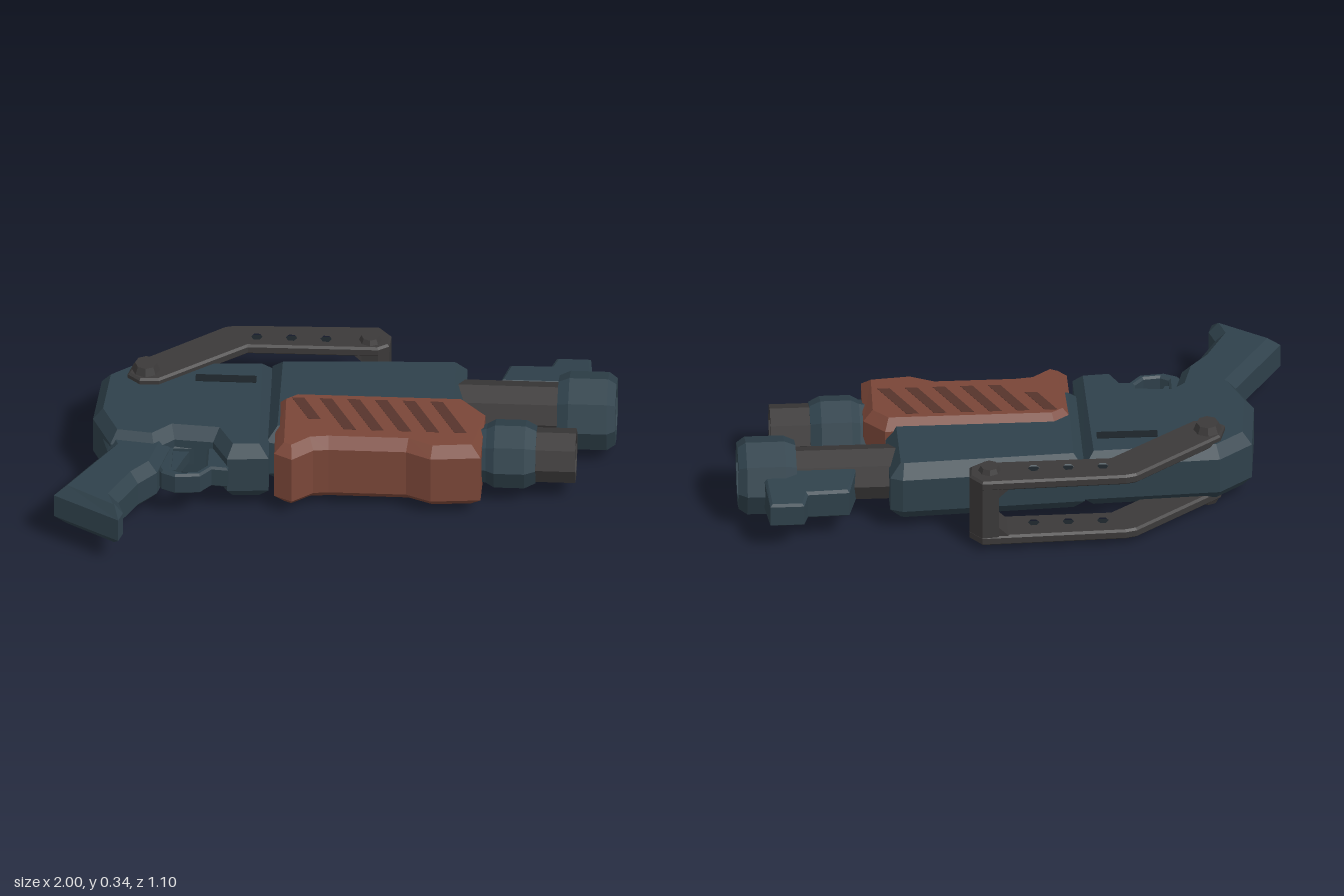
import * as THREE from 'three';

const MID = 0.168; // height of the symmetry plane
const mat = (color) => new THREE.MeshStandardMaterial({ color, flatShading: true, roughness: 0.8 });
const steel = mat(0x2f414b), iron = mat(0x3b3939), wood = mat(0x7a4638), dark = mat(0x1b2328);

const toVec = (pts) => pts.map(([x, z]) => new THREE.Vector2(x, -z));
const ngon = (x, z, r, n = 6) =>
  Array.from({ length: n }, (_, i) => [x + r * Math.cos((i * 2 * Math.PI) / n), z + r * Math.sin((i * 2 * Math.PI) / n)]);

export function createModel() {
  const root = new THREE.Group();
  const add = (name, geo, material, parent = root) => {
    const mesh = new THREE.Mesh(geo, material);
    mesh.name = name;
    parent.add(mesh);
    return mesh;
  };

  // Chamfered plate: outline in (x, z), spanning heights y0 to y1
  const slab = (pts, y0, y1, bevel = 0, { holes = [], thick = bevel, taper = 0, from = 0 } = {}) => {
    const shape = new THREE.Shape(toVec(pts));
    holes.forEach((h) => shape.holes.push(new THREE.Path(toVec(h))));
    const geo = new THREE.ExtrudeGeometry(shape, {
      depth: y1 - y0 - 2 * thick, bevelEnabled: bevel > 0,
      bevelSize: bevel, bevelThickness: thick, bevelOffset: -bevel, bevelSegments: 1,
    });
    geo.rotateX(-Math.PI / 2).translate(0, y0 + thick, 0);
    // Narrow the thickness linearly along z
    const p = geo.attributes.position;
    for (let i = 0; i < p.count; i++) {
      p.setY(i, MID + (p.getY(i) - MID) * (1 - taper * (p.getZ(i) - from)));
    }
    geo.computeVertexNormals();
    return geo;
  };

  // Eight-sided turned part along x, profile as [x, radius]
  const turned = (profile, z) =>
    new THREE.LatheGeometry(profile.map(([x, r]) => new THREE.Vector2(r, x)), 8)
      .rotateZ(-Math.PI / 2).translate(0, MID + 0.005, z);

  // Receiver, rear and front halves
  add('receiverRear', slab([
    [-0.86, -0.26], [-0.74, -0.35], [-0.25, -0.37], [-0.235, 0.18], [-0.385, 0.19],
    [-0.44, 0.09], [-0.58, 0.08], [-0.65, 0.14], [-0.81, 0.12], [-0.88, -0.03],
  ], 0.052, 0.284, 0.035, { thick: 0.045 }), steel);
  add('receiverFront', slab([
    [-0.25, -0.385], [0.41, -0.418], [0.455, -0.4], [0.46, -0.1], [0.42, 0.08], [-0.25, 0.08],
  ], 0.05, 0.286, 0.04, { thick: 0.05 }), steel);
  add('ejectionSlot', new THREE.BoxGeometry(0.22, 0.02, 0.04).translate(-0.41, 0.276, -0.237), dark);

  // Pistol grip
  add('grip', slab([
    [-0.85, 0.02], [-0.6, 0.02], [-0.595, 0.1], [-0.635, 0.25], [-0.70, 0.32], [-0.765, 0.44],
    [-0.745, 0.5], [-0.76, 0.545], [-1.0, 0.405], [-0.82, 0.13],
  ], 0.082, 0.254, 0.035, { thick: 0.04 }), steel);

  // Trigger and guard
  add('triggerGuard', slab([
    [-0.64, 0.19], [-0.62, 0.235], [-0.57, 0.258], [-0.48, 0.25], [-0.44, 0.205], [-0.38, 0.21],
    [-0.38, 0.06], [-0.64, 0.06],
  ], 0.125, 0.211, 0.008, {
    holes: [[[-0.585, 0.085], [-0.585, 0.215], [-0.555, 0.232], [-0.495, 0.226], [-0.462, 0.19], [-0.462, 0.085]]],
  }), steel);
  add('trigger', slab([
    [-0.52, 0.07], [-0.545, 0.13], [-0.57, 0.2], [-0.585, 0.2], [-0.585, 0.07],
  ], 0.145, 0.191), steel);

  // Sliding fore-end with slanted grooves on both sides
  const slots = [];
  for (let i = 0; i < 6; i++) {
    const x = -0.165 + i * 0.1, end = i === 0 ? 0.02 : 0.075, run = 0.55 * (end + 0.1);
    slots.push([[x, -0.1], [x + 0.045, -0.1], [x + 0.045 + run, end], [x + run, end]]);
  }
  const taper = { taper: 0.25, from: -0.15 };
  add('foreEnd', slab([
    [-0.22, -0.11], [-0.155, -0.155], [0.46, -0.155], [0.535, -0.08], [0.53, 0.17], [0.35, 0.187],
    [0.26, 0.148], [-0.02, 0.148], [-0.075, 0.155], [-0.15, 0.213], [-0.215, 0.18],
  ], 0.026, 0.312, 0.035, { thick: 0.04, ...taper }), wood);
  slots.forEach((s) => add('foreEndGroove', slab(s, 0.025, 0.313, 0, taper), mat(0x57342c)));

  // Magazine tube and its collar
  add('magazineTube', turned([[0.4, 0.1], [0.868, 0.1], [0.868, 0.075], [0.74, 0.07], [0.74, 0]], 0.015), iron);
  add('magazineCollar', turned([[0.5, 0.1], [0.545, 0.108], [0.575, 0.125], [0.685, 0.125], [0.725, 0.105], [0.725, 0.09]], 0.015), steel);

  // Barrel and muzzle
  add('barrel', turned([[0.4, 0.1], [0.85, 0.1]], -0.26), iron);
  add('muzzle', turned([
    [0.79, 0.09], [0.79, 0.125], [0.83, 0.143], [0.97, 0.143], [1.0, 0.122], [1.0, 0.085], [0.82, 0.08], [0.82, 0],
  ], -0.26), steel);
  add('frontSight', slab([
    [0.575, -0.33], [0.605, -0.455], [0.755, -0.46], [0.772, -0.52], [0.895, -0.52], [0.91, -0.36], [0.88, -0.33],
  ], 0.098, 0.238, 0.01, { taper: -2.2, from: -0.36 }), steel);

  // Folding stock: two mirrored arms joined by a cross bar
  const stock = new THREE.Group();
  stock.name = 'foldingStock';
  root.add(stock);
  const arm = [
    [-0.765, -0.225], [-0.745, -0.295], [-0.43, -0.525], [-0.39, -0.535], [0.13, -0.55], [0.175, -0.5],
    [0.17, -0.44], [0.13, -0.415], [-0.34, -0.41], [-0.65, -0.19], [-0.72, -0.187],
  ];
  const holes = [-0.31, -0.185, -0.06].map((x) => ngon(x, -0.465, 0.03));
  for (const s of [-1, 1]) {
    const y = MID + s * 0.119;
    add('stockArm', slab(arm, y - 0.02, y + 0.02, 0.008, { holes }), iron, stock);
    holes.forEach((h) => add('armHoleFloor', slab(h.map(([x, z]) => [x, z]), y - 0.008, y + 0.008), dark, stock));
    for (const [x, z, r, top] of [[-0.7, -0.25, 0.055, 0.168], [0.1, -0.468, 0.045, 0.158]]) {
      const h = top - 0.13;
      const bolt = add('stockBolt', new THREE.CylinderGeometry(r * 0.72, r, h, 8), iron, stock);
      bolt.position.set(x, MID + s * (0.13 + h / 2), z);
      if (s < 0) bolt.rotation.x = Math.PI;
    }
  }
  add('stockCrossBar', slab([
    [0.07, -0.545], [0.13, -0.549], [0.174, -0.5], [0.169, -0.44], [0.13, -0.417], [0.07, -0.43],
  ], 0.05, 0.286), iron, stock);
  // Fillets where the bar meets the arms
  for (const s of [-1, 1]) {
    const fillet = add('stockFillet', new THREE.CylinderGeometry(0.035, 0.035, 0.11, 4), iron, stock);
    fillet.rotation.x = Math.PI / 2;
    fillet.position.set(0.07, MID + s * 0.1, -0.487);
  }
  return root;
}
